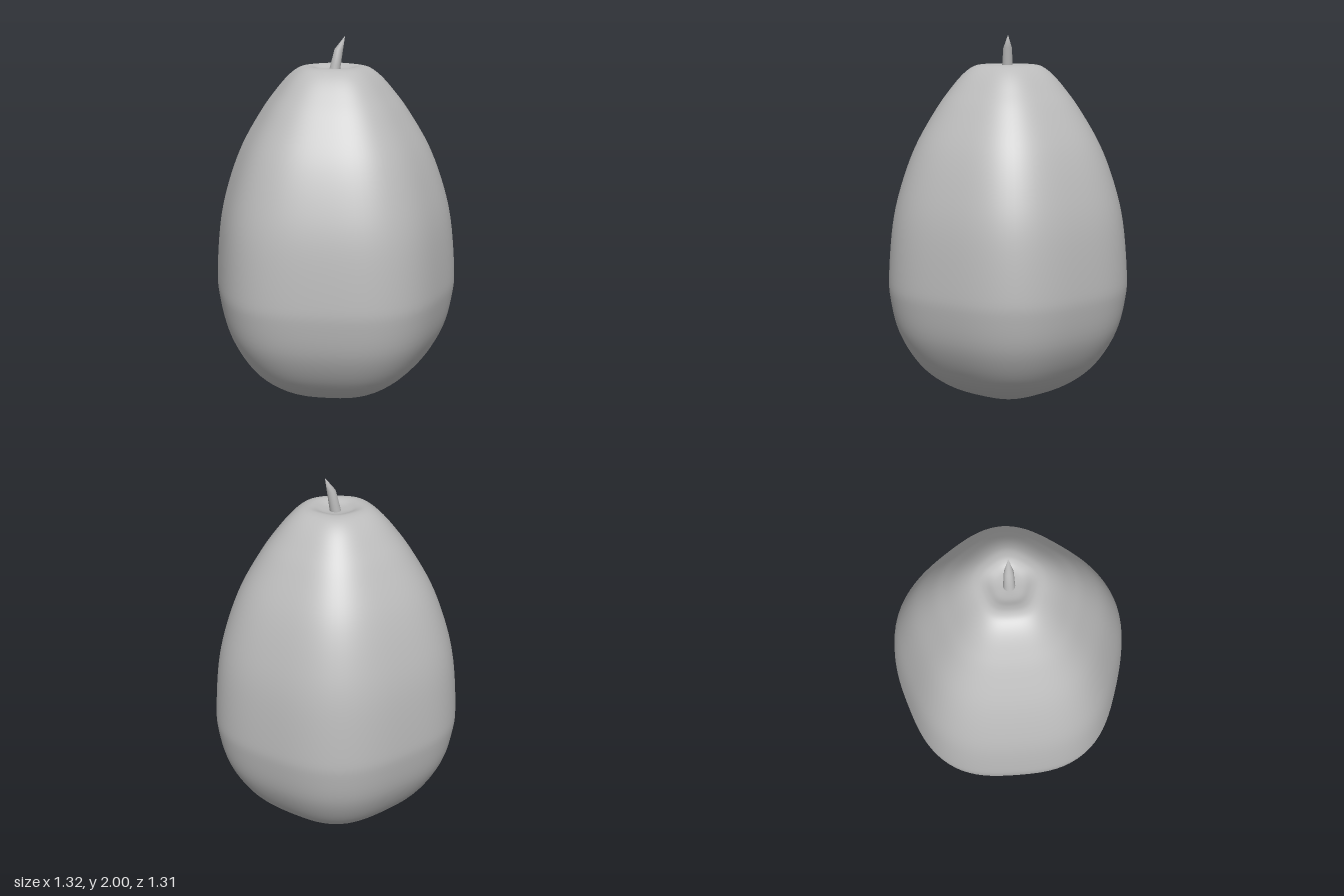
import * as THREE from 'three';
import { mergeVertices } from 'three/addons/utils/BufferGeometryUtils.js';

const CENTRE_X = -0.02;

// Lathe with a closed, smooth seam; the rule moves each vertex.
function smoothLathe(points, sides, rule) {
  let g = new THREE.LatheGeometry(points, sides);
  const p = g.attributes.position;
  const v = new THREE.Vector3();
  for (let i = 0; i < p.count; i++) {
    v.fromBufferAttribute(p, i);
    rule(v);
    p.setXYZ(i, v.x, v.y, v.z);
  }
  g.deleteAttribute('uv');
  g.deleteAttribute('normal');
  g = mergeVertices(g, 1e-5);
  g.computeVertexNormals();
  return g;
}

export function createModel() {
  const model = new THREE.Group();
  model.name = 'fruit';
  const grey = new THREE.MeshStandardMaterial({ color: 0xbcbcbc });
  grey.name = 'plain grey';

  // Body: egg-shaped profile, rounded base and a shallow dent on top
  const profile = new THREE.SplineCurve([
    [0, 0], [0.09, 0.004], [0.21, 0.024], [0.37, 0.095], [0.505, 0.21],
    [0.61, 0.39], [0.655, 0.58], [0.66, 0.72], [0.635, 0.99], [0.585, 1.2],
    [0.505, 1.41], [0.395, 1.6], [0.315, 1.71], [0.25, 1.785], [0.195, 1.828],
    [0.15, 1.842], [0.115, 1.838], [0.07, 1.822], [0, 1.815],
  ].map(([r, y]) => new THREE.Vector2(r, y))).getPoints(90);
  profile.forEach((q) => { q.x = Math.max(q.x, 0); });

  // Five soft ridges, one of them pointing to +x
  const body = new THREE.Mesh(smoothLathe(profile, 100, (v) => {
    const k = 1 + 0.03 * Math.cos(5 * Math.atan2(v.z, v.x));
    v.x = v.x * k + CENTRE_X;
    v.z *= k * 0.98;
  }), grey);
  body.name = 'body';
  model.add(body);

  // Stem: leaning stalk that ends in a slanted point
  const stemProfile = [[0.031, 1.8], [0.028, 1.85], [0.0235, 1.93], [0, 2]]
    .map(([r, y]) => new THREE.Vector2(r, y));
  const lean = (y) => (y < 1.93
    ? THREE.MathUtils.mapLinear(y, 1.8, 1.93, -0.02, 0.007)
    : THREE.MathUtils.mapLinear(y, 1.93, 2, 0.007, 0.041));
  const stem = new THREE.Mesh(
    smoothLathe(stemProfile, 16, (v) => { v.x += lean(v.y); }), grey);
  stem.name = 'stem';
  model.add(stem);

  return model;
}
